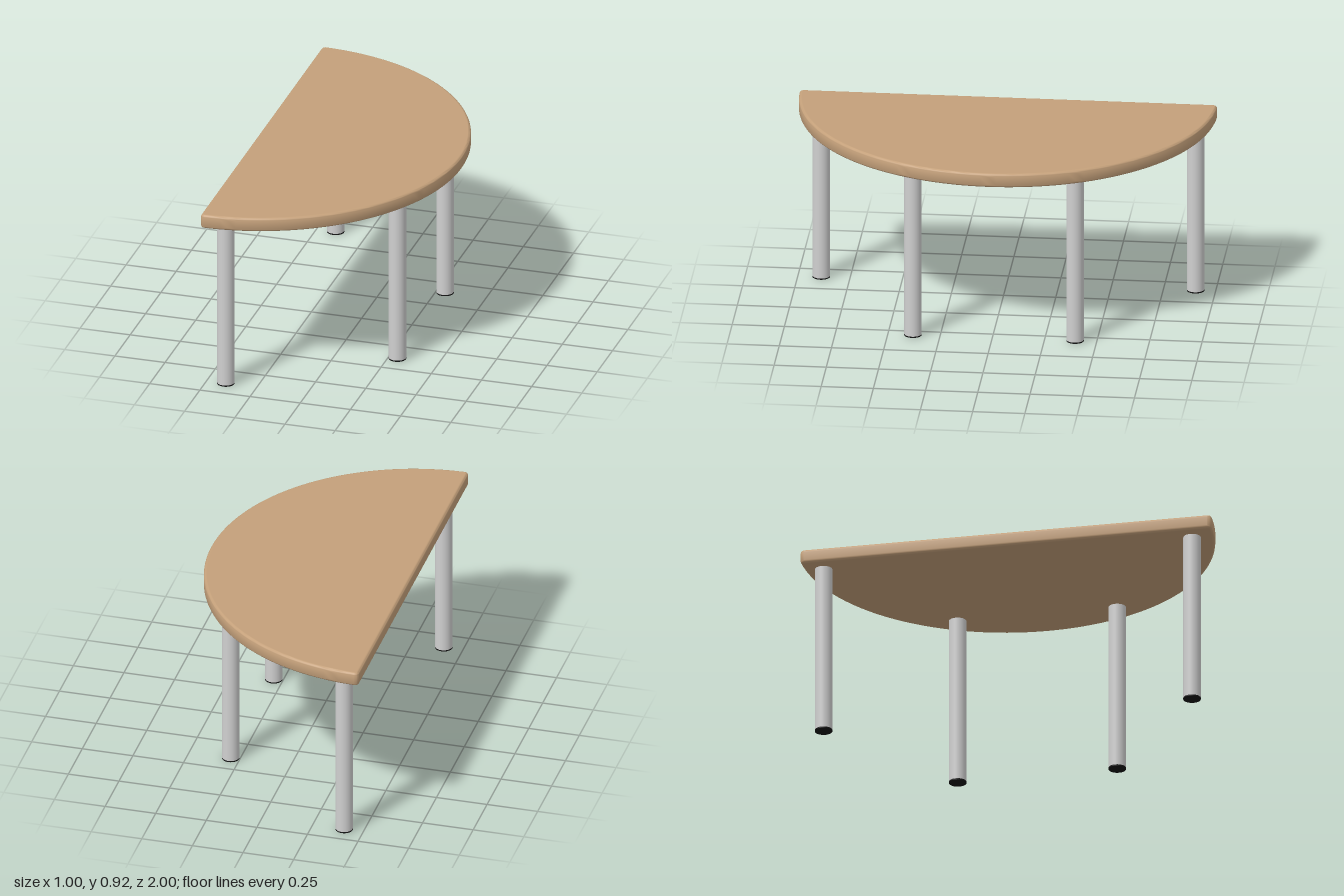
import * as THREE from 'three';
import { toCreasedNormals } from 'three/addons/utils/BufferGeometryUtils.js';

const UNDERSIDE = 0.85, THICKNESS = 0.07, BEVEL = 0.015;
const CORNER = 0.02; // rounding of the two ends of the straight edge
const LEG_RADIUS = 0.042, FOOT = 0.006;

// Half-disc outline: large arc plus two small rounded corners
function halfDiscOutline() {
  const cz = Math.sqrt((1 - CORNER) ** 2 - CORNER ** 2);
  const limit = Math.atan2(cz, CORNER);
  const points = [];
  const arc = (x, y, r, from, to, steps) => {
    for (let i = 0; i <= steps; i++) {
      const a = from + (to - from) * i / steps;
      points.push(new THREE.Vector2(x + r * Math.cos(a), y + r * Math.sin(a)));
    }
  };
  arc(-0.5, 0, 1, -limit, limit, 80);
  points.pop();
  arc(-0.5 + CORNER, cz, CORNER, limit, Math.PI, 6);
  arc(-0.5 + CORNER, -cz, CORNER, -Math.PI, -limit, 6);
  points.pop();
  return new THREE.Shape(points);
}

function tabletopGeometry() {
  const raw = new THREE.ExtrudeGeometry(halfDiscOutline(), {
    depth: THICKNESS - 2 * BEVEL, bevelEnabled: true, bevelSize: BEVEL,
    bevelThickness: BEVEL, bevelOffset: -BEVEL, bevelSegments: 5,
  });
  raw.rotateX(-Math.PI / 2);
  raw.translate(0, UNDERSIDE + BEVEL, 0);
  const geometry = toCreasedNormals(raw, 0.7);
  // Keep the broad faces flat while the rim blends into them
  const { position, normal } = geometry.attributes;
  for (let i = 0; i < position.count; i++) {
    const y = position.getY(i);
    if (y > UNDERSIDE + THICKNESS - 1e-4) normal.setXYZ(i, 0, 1, 0);
    else if (y < UNDERSIDE + 1e-4) normal.setXYZ(i, 0, -1, 0);
  }
  return geometry;
}

export function createModel() {
  const wood = new THREE.MeshStandardMaterial({ color: 0xc4a07a });
  wood.name = 'wood';
  const metal = new THREE.MeshStandardMaterial({ color: 0xd0d0d0 });
  metal.name = 'metal';
  const rubber = new THREE.MeshStandardMaterial({ color: 0x141414 });
  rubber.name = 'rubber';

  const table = new THREE.Group();
  table.name = 'table';

  const top = new THREE.Mesh(tabletopGeometry(), wood);
  top.name = 'tabletop';
  table.add(top);

  // Four tubular legs, each on a thin rubber foot
  const tubeHeight = UNDERSIDE - FOOT;
  const tubeGeometry = new THREE.CylinderGeometry(LEG_RADIUS, LEG_RADIUS, tubeHeight, 32);
  const footGeometry = new THREE.CylinderGeometry(LEG_RADIUS, LEG_RADIUS, FOOT, 32);
  const addLeg = (name, x, z) => {
    const leg = new THREE.Group();
    leg.name = name;
    const tube = new THREE.Mesh(tubeGeometry, metal);
    tube.name = 'legTube';
    tube.position.y = FOOT + tubeHeight / 2;
    const foot = new THREE.Mesh(footGeometry, rubber);
    foot.name = 'legFoot';
    foot.position.y = FOOT / 2;
    leg.add(tube, foot);
    leg.position.set(x, 0, z);
    table.add(leg);
  };
  for (const [end, side] of [['front', 1], ['back', -1]]) {
    addLeg(end + 'StraightEdgeLeg', -0.405, side * 0.896 - 0.008);
    addLeg(end + 'CurvedEdgeLeg', 0.295, side * 0.388 - 0.008);
  }
  return table;
}
